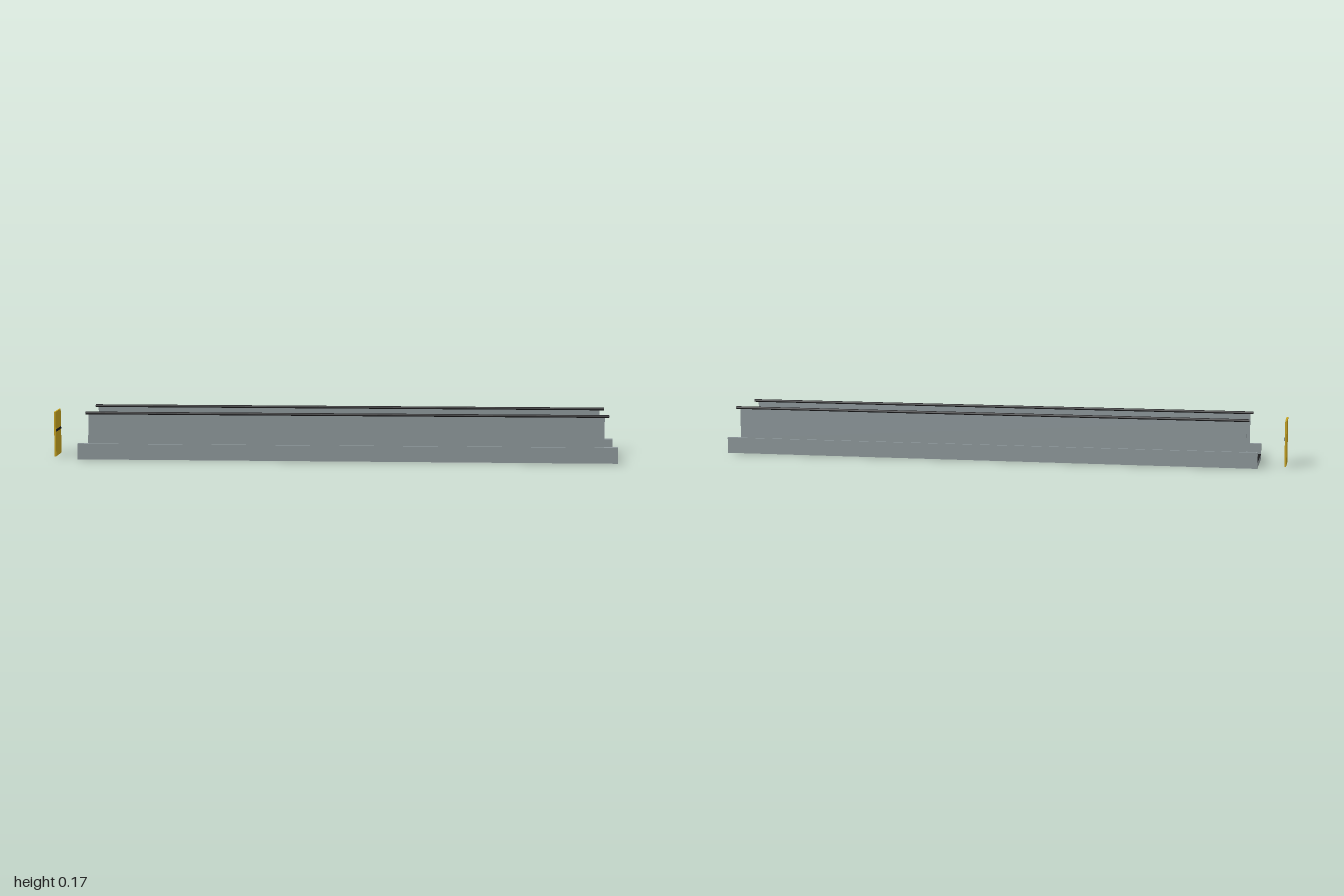
import * as THREE from 'three';

export function createModel() {
  const model = new THREE.Group();
  const paint = (name, color) => {
    const m = new THREE.MeshStandardMaterial({ color });
    m.name = name;
    return m;
  };
  const grey = paint('steelGrey', 0x8f999c);
  const black = paint('rubberBlack', 0x1c1c1e);
  const yellow = paint('signYellow', 0xc9a520);

  const add = (name, geometry, material, parent = model) => {
    const mesh = new THREE.Mesh(geometry, material);
    mesh.name = name;
    parent.add(mesh);
    return mesh;
  };
  // Box given by its minimum and maximum corners
  const box = (name, material, x0, x1, y0, y1, z0, z1, parent) => {
    const g = new THREE.BoxGeometry(x1 - x0, y1 - y0, z1 - z0);
    g.translate((x0 + x1) / 2, (y0 + y1) / 2, (z0 + z1) / 2);
    return add(name, g, material, parent);
  };

  // Floor tray and the dark bed, left exposed as landing plates at both ends
  box('base', grey, -0.905, 0.998, 0, 0.0185, -0.112, 0.112);
  box('bed', black, -0.905, 0.998, 0.0185, 0.0205, -0.096, 0.096);

  // Walkway slats with narrow dark gaps between them
  const belt = new THREE.Group();
  belt.name = 'belt';
  model.add(belt);
  const count = 95, start = -0.86, end = 0.952, gap = 0.0035;
  const pitch = (end - start) / count;
  for (let i = 0; i < count; i++) {
    const x = start + i * pitch;
    box('slat', grey, x + gap / 2, x + pitch - gap / 2, 0.0205, 0.0218, -0.093, 0.093, belt);
  }

  // Curb, balustrade panel and handrail on each side
  for (const s of [1, -1]) {
    const side = new THREE.Group();
    side.name = s > 0 ? 'frontBalustrade' : 'backBalustrade';
    model.add(side);
    const z = s * 0.104;
    box('curb', grey, -0.905, 0.998, 0, 0.056, z - 0.0085, z + 0.0085, side);
    box('panel', grey, -0.865, 0.95, 0.056, 0.163, z - 0.002, z + 0.002, side);
    const rail = new THREE.CylinderGeometry(1, 1, 1.84, 8, 1, false, Math.PI / 8);
    rail.rotateZ(Math.PI / 2);
    rail.scale(1, 0.005, 0.0068);
    rail.translate(0.045, 0.165, z);
    add('handrail', rail, black, side);
  }

  // Standing sign with a dark bar facing the walkway
  const sign = new THREE.Group();
  sign.name = 'sign';
  model.add(sign);
  box('signBoard', yellow, -1, -0.994, 0, 0.16, -0.048, 0.048, sign);
  box('signBar', black, -0.994, -0.992, 0.089, 0.097, -0.041, 0.041, sign);

  return model;
}
